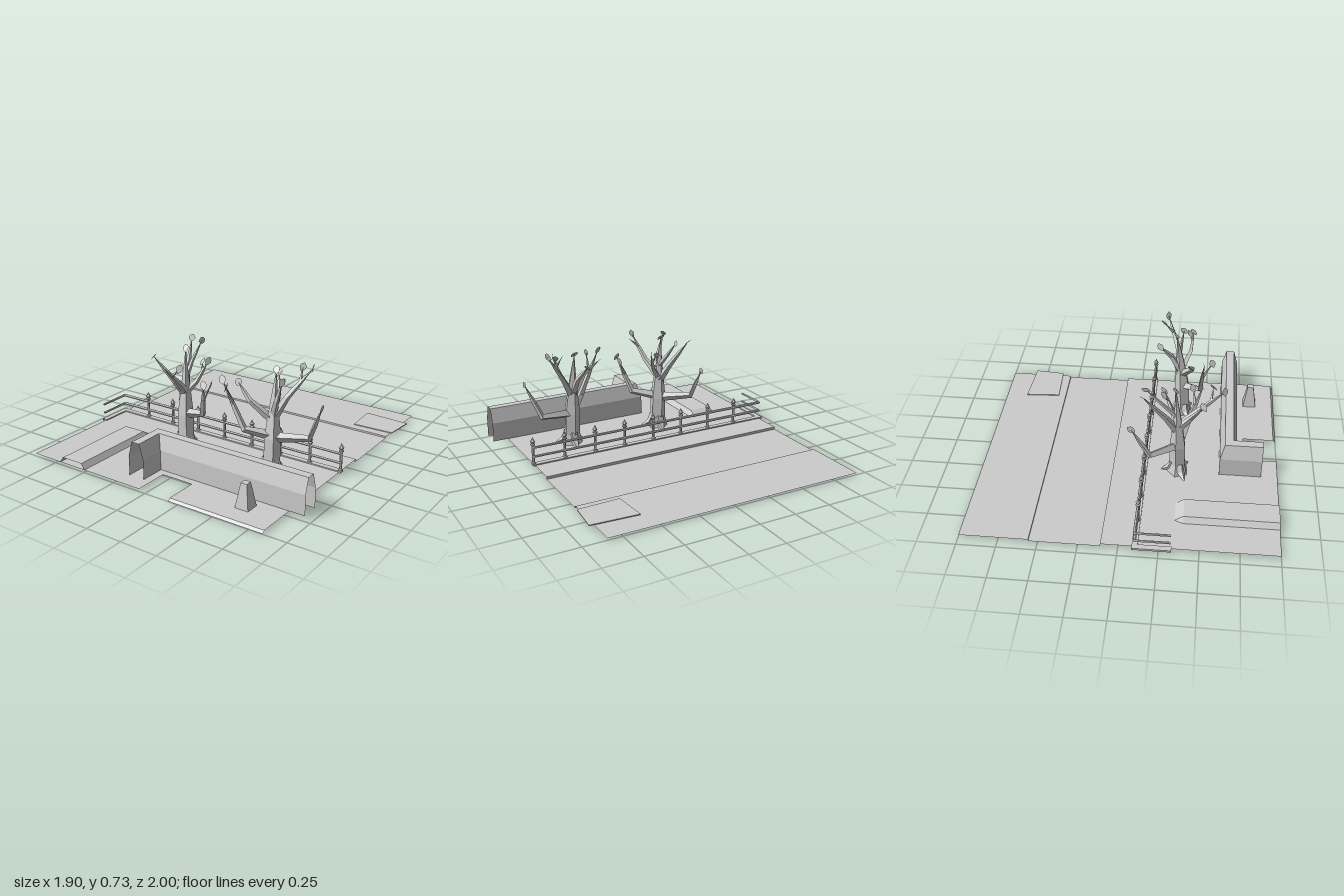
import * as THREE from 'three';

const V = (x, y, z) => new THREE.Vector3(x, y, z);

export function createModel() {
  const root = new THREE.Group();
  const grey = new THREE.MeshStandardMaterial({ color: 0xcccccc, side: THREE.DoubleSide });
  grey.name = 'paleGrey';

  function add(name, geo, parent = root) {
    const g = geo.index ? geo.toNonIndexed() : geo;
    g.computeVertexNormals();
    const m = new THREE.Mesh(g, grey);
    m.name = name;
    parent.add(m);
    return m;
  }

  // Faceted skin over a row of cross-sections
  function loft(rings, closed) {
    const pos = [], n = rings[0].length;
    for (let r = 0; r < rings.length - 1; r++) {
      for (let i = 0; i < (closed ? n : n - 1); i++) {
        const j = (i + 1) % n;
        const [a, b, c, d] = [rings[r][i], rings[r][j], rings[r + 1][j], rings[r + 1][i]];
        for (const p of [a, b, c, a, c, d]) pos.push(p.x, p.y, p.z);
      }
    }
    const g = new THREE.BufferGeometry();
    g.setAttribute('position', new THREE.Float32BufferAttribute(pos, 3));
    return g;
  }

  // Tapered limb through points, with one radius for each
  function limb(points, radii, sides) {
    const u = V(0.61, 0.27, 0.74);
    return loft(points.map((c, k) => {
      const t = points[Math.min(k + 1, points.length - 1)].clone().sub(points[Math.max(k - 1, 0)]).normalize();
      u.addScaledVector(t, -u.dot(t)).normalize();
      const v = t.clone().cross(u);
      return Array.from({ length: sides }, (_, i) => {
        const a = (i / sides) * Math.PI * 2, r = radii[k];
        return c.clone().addScaledVector(u, Math.cos(a) * r).addScaledVector(v, Math.sin(a) * r);
      });
    }), true);
  }

  // Ground: [z, y] steps across the road, then the notched front area
  const W = -0.93, E = 0.845, top = 0.018;
  const steps = [[-1, 0.012], [-0.56, 0.012], [-0.56, 0], [-0.11, 0], [-0.11, top], [0.77, top]];
  add('groundAndRoad', loft(steps.map(([z, y]) => [V(W, y, z), V(E, y, z)]).reverse(), false));
  const strip = (x0, x1, rows) => loft(rows.map(([z, y]) => [V(x0, y, z), V(x1, y, z)]), false);
  add('frontPavingLeft', strip(W, -0.045, [[1, top], [0.77, top]]));
  add('frontPavingRight', strip(0.18, E, [[1, 0.002], [0.985, top], [0.77, top]]));

  // Loose plate lying on the road edge
  const plate = [[0.56, -0.85], [0.88, -0.83], [0.86, -0.62], [0.575, -0.61]];
  const plateShape = new THREE.Shape(plate.map(([x, z]) => new THREE.Vector2(x, -z)));
  const plateGeo = new THREE.ExtrudeGeometry(plateShape, { depth: 0.006, bevelEnabled: false });
  add('roadPlate', plateGeo.rotateX(-Math.PI / 2).translate(0, 0.016, 0));

  // Half profile [offset, y] mirrored into a full cross-section
  const mirror = half => [...half.map(([d, y]) => [-d, y]), ...half.slice().reverse()];

  // L-shaped wall, open at its ends and below
  const wall = mirror([[0.057, top], [0.057, 0.15], [0.028, 0.25]]);
  add('gardenWall', loft([
    wall.map(([d, y]) => V(0.95, y, 0.665 + d)),
    wall.map(([d, y]) => V(-0.157 + d, y, 0.665 + d)),
    wall.map(([d, y]) => V(-0.157 + d, y, 0.89)),
  ], false));

  // Low raised bed, open at the front
  const bed = (z, half) => mirror(half).map(([d, y]) => V(d - 0.6, y, z));
  const bedSide = [[0.105, top], [0.08, 0.056]];
  add('raisedBed', loft([bed(1, bedSide), bed(0.39, bedSide), bed(0.335, [[0.08, top], [0.08, top]])], false));

  // Tapered bollard
  const bollard = new THREE.CylinderGeometry(0.021 * Math.SQRT2, 0.046 * Math.SQRT2, 0.158, 4, 1);
  add('bollard', bollard.rotateY(Math.PI / 4).translate(0.61, 0.097, 0.82));

  // Fence: curb, two rails turning the corner, and posts
  const fence = new THREE.Group();
  fence.name = 'fence';
  root.add(fence);
  const curb = mirror([[0.018, 0.012], [0.018, 0.026]]);
  add('fenceCurb', loft([
    curb.map(([d, y]) => V(0.855, y, 0.104 + d)),
    curb.map(([d, y]) => V(-0.937 + d, y, 0.104 + d)),
    curb.map(([d, y]) => V(-0.937 + d, y, 0.33)),
  ], true), fence);
  for (const y of [0.075, 0.138]) {
    const path = [V(-0.937, y, 0.325), V(-0.937, y, 0.104), V(0.85, y, 0.104)];
    add('fenceRail', limb(path, [0.008, 0.01, 0.008], 6), fence);
  }
  const postProfile = [[0.015, 0.02], [0.015, 0.032], [0.009, 0.038], [0.009, 0.152], [0.016, 0.156],
    [0.016, 0.164], [0.009, 0.168], [0.018, 0.182], [0.008, 0.196], [0, 0.214]];
  for (let i = 0; i < 8; i++) {
    const post = new THREE.LatheGeometry(postProfile.map(([r, y]) => new THREE.Vector2(r, y)), 6);
    add('fencePost', post.translate(-0.71 + i * 0.2225, 0, 0.106), fence);
  }

  // Leaf: a pointed oval
  const leafShape = new THREE.Shape();
  leafShape.moveTo(0, -0.032);
  leafShape.quadraticCurveTo(0.044, 0.004, 0, 0.032);
  leafShape.quadraticCurveTo(-0.044, 0.004, 0, -0.032);

  // Tree: trunk, roots, and branches given as start height, thickness, elbow and tip
  function tree(name, base, crown, branches) {
    const g = new THREE.Group();
    g.name = name;
    root.add(g);
    const trunkAt = y => base.clone().lerp(crown, (y / crown.y) ** 2).setY(y);
    const heights = [0.01, 0.09, 0.24, 0.37, 0.48, 0.57, crown.y];
    add('trunk', limb(heights.map(trunkAt), [0.075, 0.055, 0.056, 0.04, 0.026, 0.014, 0.001], 5), g);

    for (let i = 0; i < 3; i++) {
      const out = (r, y) => V(base.x + Math.cos(2.7 + i * 2.09) * r, y, base.z + Math.sin(2.7 + i * 2.09) * r);
      add('root', limb([out(0.03, 0.1), out(0.055, 0.045), out(0.11, 0.016)], [0.03, 0.026, 0.006], 4), g);
    }

    let count = 0;
    function leafAt(p) {
      const i = count++;
      const leaf = add('leaf', new THREE.ShapeGeometry(leafShape, 4), g);
      leaf.position.copy(p);
      leaf.rotation.set(-0.75 - 0.35 * Math.sin(i * 2.1), i * 1.7, 0.5 * Math.cos(i * 1.3));
    }
    leafAt(crown);
    branches.forEach(([y, r, elbow, tip], i) => {
      const mid = elbow.clone().lerp(tip, 0.5);
      add('branch', limb([trunkAt(y), elbow, mid, tip], [r, r * 0.65, r * 0.45, 0.001], 4), g);
      leafAt(tip);
      // Every other branch forks into a side twig
      if (i % 2) {
        const reach = tip.clone().sub(mid).applyAxisAngle(V(0, 1, 0), 1.3).multiplyScalar(0.85);
        const end = mid.clone().add(reach);
        add('twig', limb([mid, end], [r * 0.4, 0.001], 4), g);
        leafAt(end);
      }
    });
  }

  tree('leftTree', V(-0.2, 0, 0.33), V(-0.21, 0.69, 0.3), [
    [0.24, 0.034, V(-0.37, 0.28, 0.15), V(-0.38, 0.49, 0.03)],
    [0.25, 0.034, V(-0.02, 0.3, 0.38), V(0.055, 0.54, 0.47)],
    [0.36, 0.03, V(-0.25, 0.5, 0.24), V(-0.31, 0.69, 0.1)],
    [0.4, 0.028, V(-0.16, 0.5, 0.44), V(-0.14, 0.65, 0.61)],
    [0.38, 0.028, V(-0.23, 0.49, 0.4), V(-0.33, 0.66, 0.48)],
    [0.39, 0.025, V(-0.14, 0.47, 0.28), V(-0.09, 0.6, 0.22)],
    [0.48, 0.018, V(-0.22, 0.58, 0.22), V(-0.22, 0.69, 0.11)],
  ]);

  tree('rightTree', V(0.475, 0, 0.33), V(0.465, 0.67, 0.27), [
    [0.24, 0.034, V(0.71, 0.27, 0.27), V(0.81, 0.5, 0.31)],
    [0.25, 0.034, V(0.35, 0.31, 0.45), V(0.2, 0.61, 0.47)],
    [0.35, 0.028, V(0.35, 0.48, 0.39), V(0.245, 0.57, 0.36)],
    [0.36, 0.03, V(0.55, 0.51, 0.28), V(0.68, 0.7, 0.2)],
    [0.37, 0.028, V(0.46, 0.5, 0.24), V(0.42, 0.6, 0.16)],
    [0.38, 0.025, V(0.53, 0.51, 0.37), V(0.575, 0.64, 0.385)],
  ]);

  return root;
}
